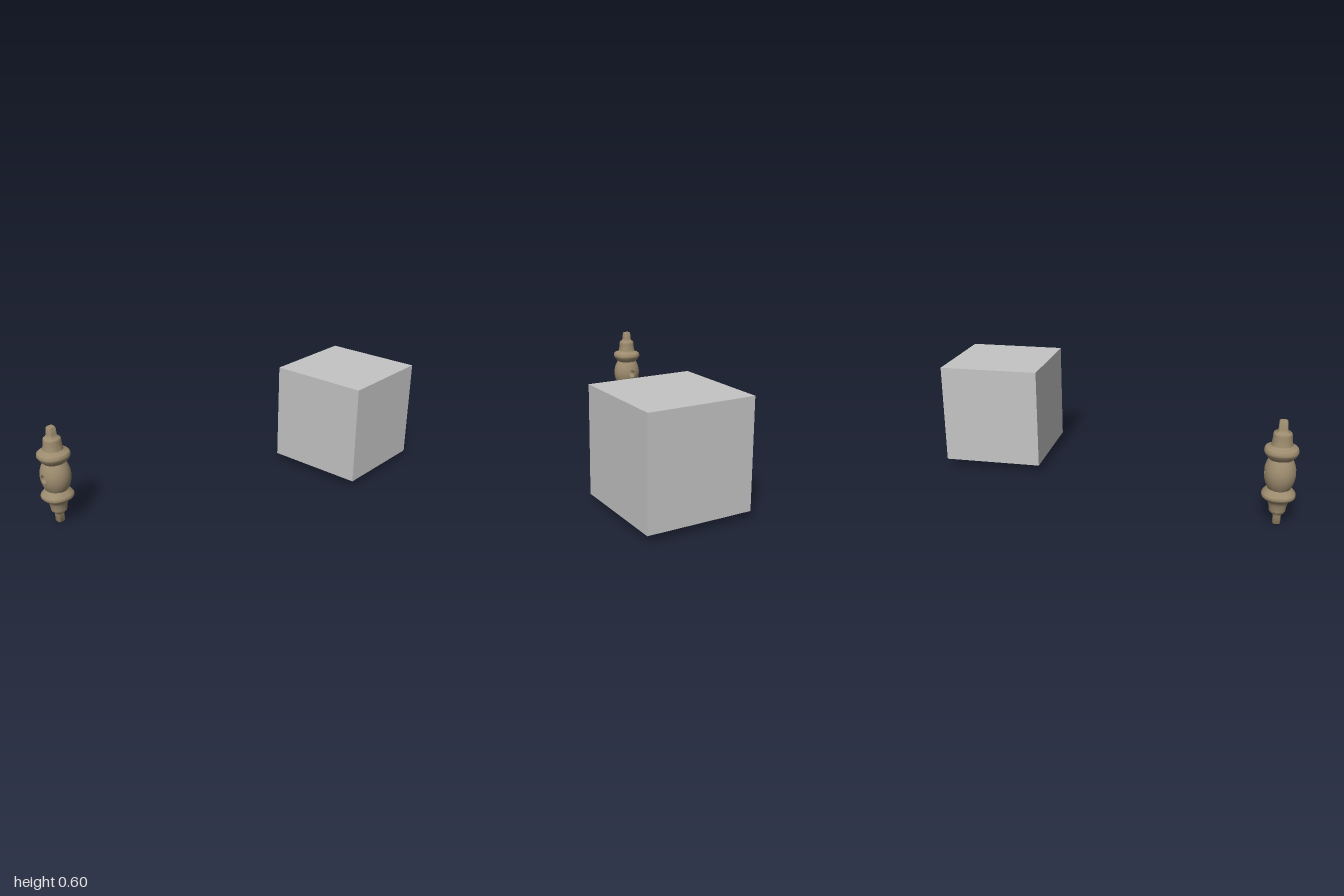
import * as THREE from 'three';
import { mergeVertices, toCreasedNormals } from 'three/addons/utils/BufferGeometryUtils.js';

const V = (x, y) => new THREE.Vector2(x, y);
const BODY = { low: 0.2, high: 0.358, mid: 0.279, rx: 0.086, rz: 0.079, neck: 0.062, hole: 0.022 };

// Barrel radius factor at a height, 1 at the middle
const bulge = (y) => {
  const t = (y - BODY.mid) / (BODY.high - BODY.mid);
  return 1 - (1 - BODY.neck / BODY.rx) * t * t;
};
const bodyPoint = (theta, y) => [
  BODY.rx * bulge(y) * Math.sin(theta), y, BODY.rz * bulge(y) * Math.cos(theta)];

// Turned piece whose round section is pressed towards a square
function turned(points, squareness) {
  const geo = new THREE.LatheGeometry(points, 48);
  const p = geo.attributes.position;
  for (let i = 0; i < p.count; i++) {
    const x = p.getX(i), z = p.getZ(i), r = Math.hypot(x, z);
    if (r < 1e-6) continue;
    const k = Math.pow(Math.pow(Math.abs(x / r), squareness) + Math.pow(Math.abs(z / r), squareness), -1 / squareness);
    p.setXYZ(i, x * k, p.getY(i), z * k);
  }
  geo.deleteAttribute('uv');
  geo.deleteAttribute('normal');
  return toCreasedNormals(mergeVertices(geo, 1e-5), 0.8);
}

const smooth = (pts, n = 20) => new THREE.SplineCurve(pts.map(([x, y]) => V(x, y))).getPoints(n);

// Half of the barrel, with rings spreading from the drilled hole to the edges
function barrelHalf() {
  const edge = [], nt = 24, ny = 12, rings = 12, h = Math.PI / 2, { low, high } = BODY;
  const walk = (a, b, n) => {
    for (let i = 0; i < n; i++) edge.push([a[0] + (b[0] - a[0]) * i / n, a[1] + (b[1] - a[1]) * i / n]);
  };
  walk([h, low], [h, high], ny);
  walk([h, high], [-h, high], nt);
  walk([-h, high], [-h, low], ny);
  walk([-h, low], [h, low], nt);
  const pos = [], index = [], n = edge.length;
  for (let r = 0; r <= rings; r++) {
    for (const [theta, y] of edge) {
      const a = Math.atan2(y - BODY.mid, theta * BODY.rx);
      const y0 = BODY.mid + BODY.hole * 1.08 * Math.sin(a);
      const t0 = Math.asin(BODY.hole * Math.cos(a) / (BODY.rx * bulge(y0)));
      const t = r / rings;
      pos.push(...bodyPoint(t0 + (theta - t0) * t, y0 + (y - y0) * t));
    }
  }
  for (let r = 0; r < rings; r++) {
    for (let k = 0; k < n; k++) {
      const a = r * n + k, b = r * n + (k + 1) % n;
      index.push(a, a + n, b + n, a, b + n, b);
    }
  }
  const geo = new THREE.BufferGeometry();
  geo.setAttribute('position', new THREE.Float32BufferAttribute(pos, 3));
  geo.setIndex(index);
  geo.computeVertexNormals();
  return geo;
}

// Inside wall of the hole, its ends following the barrel surface
function holeWall() {
  const geo = new THREE.CylinderGeometry(BODY.hole, BODY.hole, 1, 40, 1, true);
  geo.rotateX(Math.PI / 2);
  geo.scale(1, 1.08, 1);
  const p = geo.attributes.position;
  for (let i = 0; i < p.count; i++) {
    const y = p.getY(i) + BODY.mid;
    const s = p.getX(i) / (BODY.rx * bulge(y));
    p.setXYZ(i, -p.getX(i), y, Math.sign(p.getZ(i)) * BODY.rz * bulge(y) * Math.sqrt(1 - s * s));
  }
  geo.computeVertexNormals();
  return geo;
}

export function createModel() {
  const wood = new THREE.MeshStandardMaterial({ color: 0x9c8b6e, side: THREE.DoubleSide });
  wood.name = 'tan wood';
  const grey = new THREE.MeshStandardMaterial({ color: 0xc4c4c4 });
  grey.name = 'light grey';

  const model = new THREE.Group();
  model.name = 'spindleAndBlock';
  const spindle = new THREE.Group();
  spindle.name = 'spindle';
  spindle.position.set(-0.431, 0, 0.915);
  model.add(spindle);

  const add = (name, geo, material, parent) => {
    const mesh = new THREE.Mesh(geo, material);
    mesh.name = name;
    parent.add(mesh);
    return mesh;
  };

  // Square pins at both ends
  add('lowerPin', turned([V(0, 0.003), V(0.017, 0.003), V(0.02, 0.008), V(0.021, 0.05), V(0.025, 0.063), V(0.034, 0.07)], 5), wood, spindle);
  add('upperPin', turned([V(0.034, 0.493), V(0.026, 0.501), V(0.023, 0.512), V(0.021, 0.548), V(0.017, 0.554), V(0, 0.554)], 5), wood, spindle);

  // Flared necks running into the beads
  add('lowerNeck', turned([V(0.02, 0.067), ...smooth([[0.037, 0.068], [0.041, 0.074], [0.043, 0.09], [0.05, 0.12], [0.061, 0.136], [0.079, 0.15]])], 2.1), wood, spindle);
  add('upperNeck', turned([...smooth([[0.072, 0.418], [0.056, 0.425], [0.052, 0.435], [0.048, 0.46], [0.046, 0.485], [0.042, 0.493]]), V(0.02, 0.497)], 2.1), wood, spindle);

  // Rounded beads above and below the barrel
  add('lowerBead', turned(smooth([[0.079, 0.15], [0.084, 0.158], [0.084, 0.169], [0.077, 0.18], [0.066, 0.193], [0.059, 0.201]]), 2.25), wood, spindle);
  add('upperBead', turned(smooth([[0.059, 0.357], [0.066, 0.364], [0.077, 0.379], [0.084, 0.391], [0.084, 0.403], [0.079, 0.414], [0.066, 0.42], [0.053, 0.428]]), 2.25), wood, spindle);

  // Barrel drilled through from front to back
  const half = barrelHalf();
  add('barrelFront', half, wood, spindle);
  add('barrelBack', half, wood, spindle).rotation.y = Math.PI;
  add('barrelHole', holeWall(), wood, spindle);

  // Plain block standing off to the back
  add('block', new THREE.BoxGeometry(0.56, 0.56, 0.56), grey, model).position.set(0.235, 0.325, -0.72);

  return model;
}
